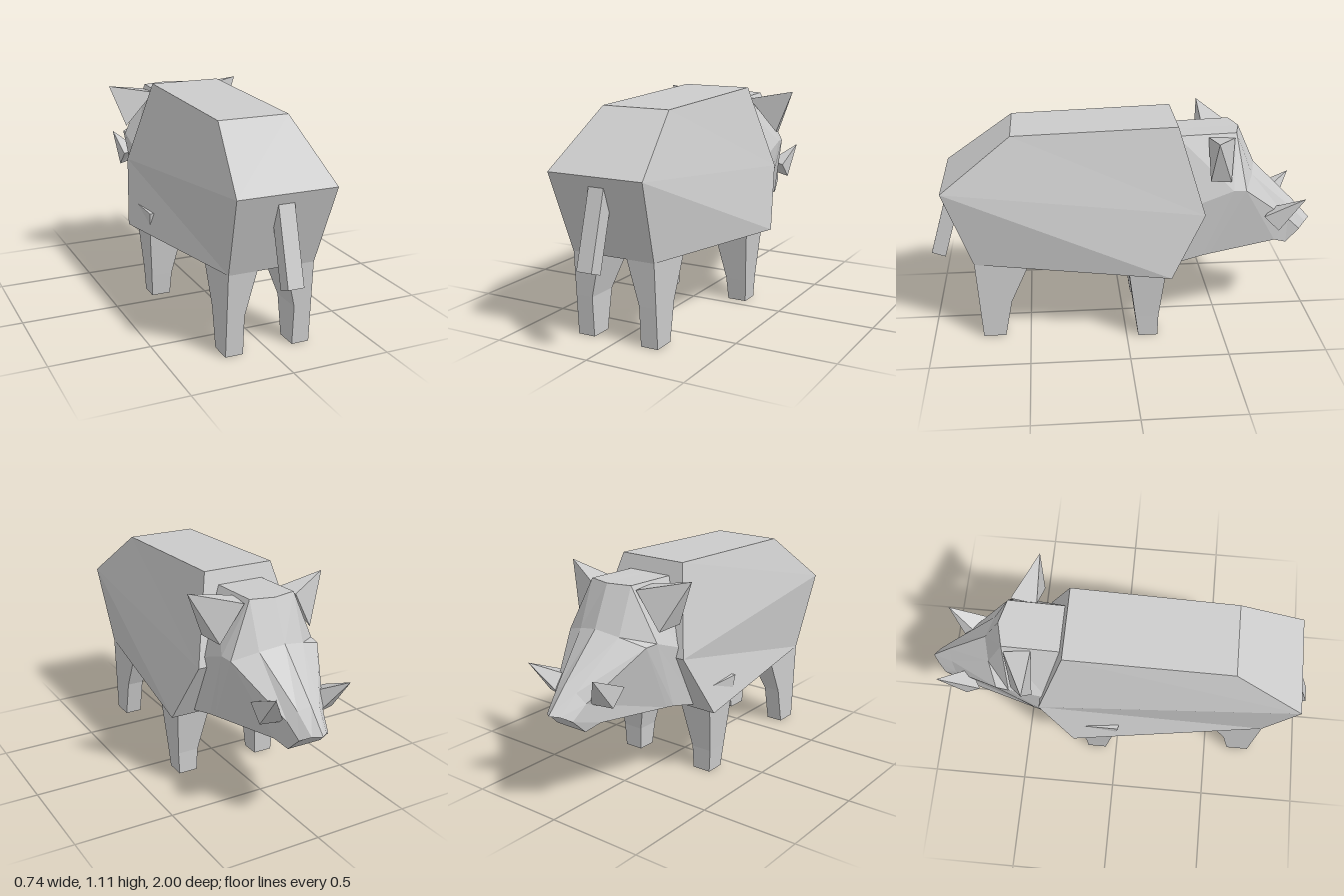
import * as THREE from 'three';

const material = new THREE.MeshStandardMaterial({ color: 0xcccccc, flatShading: true });

// Skins a list of equal-length closed rings of [x, y, z] and caps both ends.
function loft(name, rings) {
  const tris = [];
  const n = rings[0].length;
  const quad = (a, b, c, d) => tris.push([a, b, c], [a, c, d]);
  for (let r = 0; r < rings.length - 1; r++) {
    for (let i = 0; i < n; i++) {
      const j = (i + 1) % n;
      quad(rings[r][i], rings[r][j], rings[r + 1][j], rings[r + 1][i]);
    }
  }
  const first = rings[0], last = rings[rings.length - 1];
  for (let i = 0; i < n / 2 - 1; i++) {
    const k = n - 1 - i;
    quad(first[i], first[k], first[k - 1], first[i + 1]);
    quad(last[i], last[i + 1], last[k - 1], last[k]);
  }
  // Drop collapsed triangles and turn the skin outwards.
  let volume = 0;
  const faces = tris.map(t => t.map(p => new THREE.Vector3(...p))).filter(([a, b, c]) => {
    volume += a.dot(b.clone().cross(c));
    return b.clone().sub(a).cross(c.clone().sub(a)).length() > 1e-7;
  });
  if (volume < 0) faces.forEach(f => f.reverse());
  const geometry = new THREE.BufferGeometry().setFromPoints(faces.flat());
  geometry.computeVertexNormals();
  const mesh = new THREE.Mesh(geometry, material);
  mesh.name = name;
  return mesh;
}

// Completes a half section (top to bottom, +x side) with its mirror image.
const flip = ([x, y, z]) => [-x, y, z];
const full = half => [...half, ...half.map(flip).reverse()];

// Makes left and right copies of a part.
const pair = (name, rings) => [
  loft('left' + name, rings),
  loft('right' + name, rings.map(r => r.map(flip))),
];

// Horizontal leg section.
const section = (y, x0, x1, z0, z1) => [[x0, y, z0], [x1, y, z0], [x1, y, z1], [x0, y, z1]];

export function createModel() {
  const model = new THREE.Group();
  model.name = 'boar';

  // Trunk: sloping rump, wide shoulders
  model.add(loft('body', [
    full([[0.18, 1.085, 0.56], [0.25, 0.82, 0.91], [0.22, 0.42, 0.77]]),
    full([[0.185, 1.11, -0.26], [0.29, 0.68, -0.39], [0.35, 0.365, -0.22]]),
  ]));

  // Head: neck, cheeks, brow, snout, nose tip
  model.add(loft('head', [
    full([[0, 1.04, -0.26], [0.12, 1.04, -0.26], [0.25, 0.72, -0.35], [0.23, 0.38, -0.21]]),
    full([[0, 1.05, -0.59], [0.12, 1.05, -0.56], [0.25, 0.79, -0.535], [0.23, 0.43, -0.39]]),
    full([[0, 0.85, -0.68], [0.12, 0.825, -0.65], [0.24, 0.785, -0.6], [0.22, 0.433, -0.43]]),
    full([[0, 0.63, -0.9], [0.06, 0.61, -0.88], [0.1, 0.56, -0.86], [0.12, 0.45, -0.79]]),
    full([[0, 0.52, -1], [0.04, 0.515, -0.97], [0.08, 0.49, -0.93], [0.09, 0.42, -0.86]]),
  ]));

  // Ears
  const earTip = [0.37, 1.08, -0.43];
  model.add(...pair('Ear', [
    [[0.12, 1.03, -0.42], [0.14, 1.03, -0.55], [0.25, 0.84, -0.52], [0.285, 0.86, -0.41]],
    Array(4).fill(earTip),
  ]));

  // Tusks
  const tuskTip = [0.2, 0.71, -0.92];
  model.add(...pair('Tusk', [
    [[0.1, 0.63, -0.77], [0.2, 0.62, -0.71], [0.2, 0.54, -0.79], [0.1, 0.55, -0.83]],
    Array(4).fill(tuskTip),
  ]));

  // Legs
  model.add(...pair('FrontLeg', [
    section(0.49, 0.12, 0.313, -0.2, 0.015),
    section(0.37, 0.12, 0.305, -0.195, -0.01),
    section(0.12, 0.175, 0.287, -0.163, -0.043),
    section(0, 0.18, 0.28, -0.16, -0.06),
  ]));
  model.add(...pair('RearLeg', [
    section(0.42, 0.075, 0.22, 0.49, 0.77),
    section(0.2, 0.13, 0.22, 0.59, 0.757),
    section(0, 0.13, 0.22, 0.63, 0.745),
  ]));

  // Tail
  const tailEnd = (y0, z0, y1, z1) => [[0.04, y0, z0], [-0.04, y0, z0], [-0.04, y1, z1], [0.04, y1, z1]];
  model.add(loft('tail', [tailEnd(0.77, 0.893, 0.745, 0.823), tailEnd(0.408, 1, 0.383, 0.93)]));

  return model;
}
